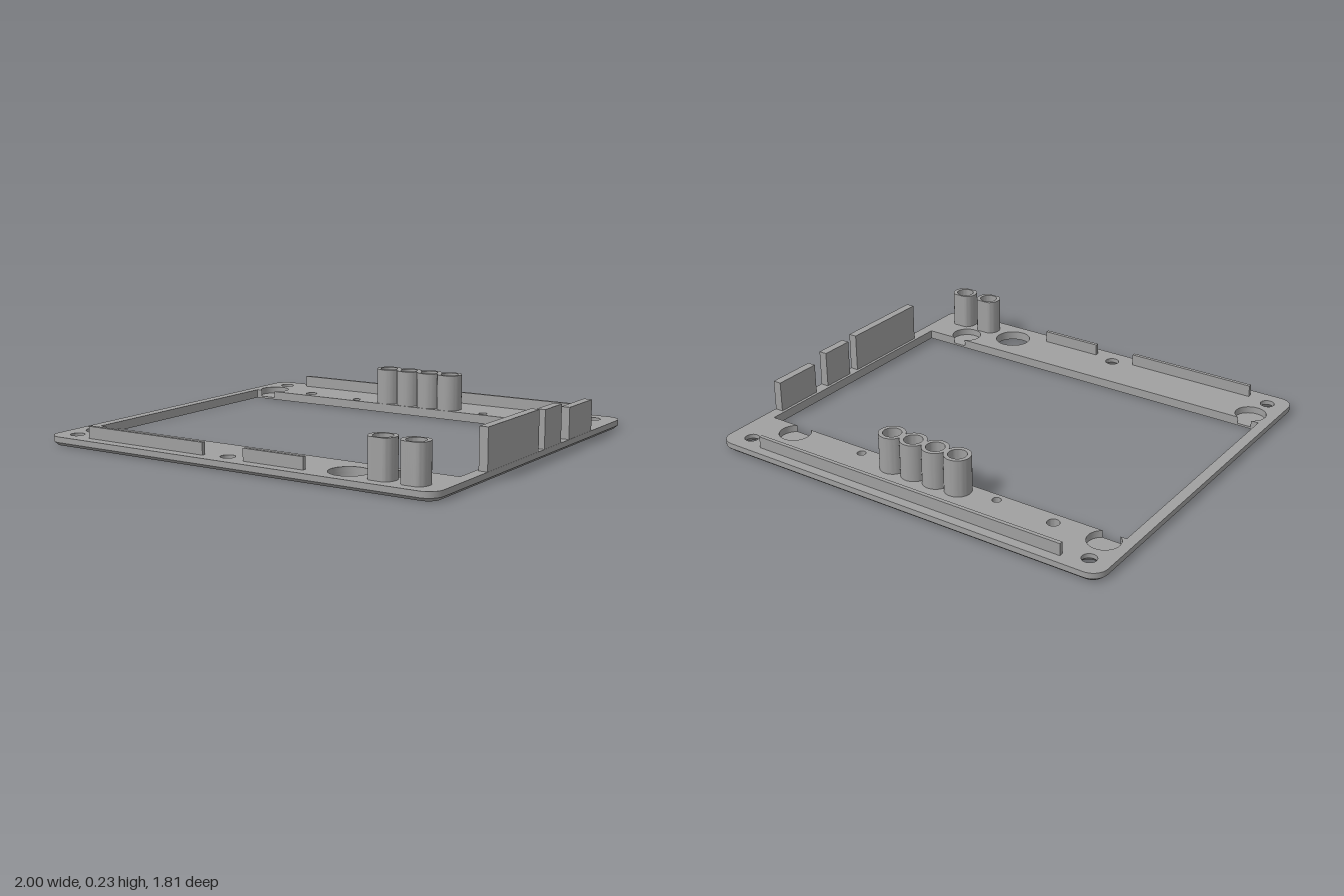
import * as THREE from 'three';
import { mergeGeometries, toCreasedNormals } from 'three/addons/utils/BufferGeometryUtils.js';

const TOP = 0.042, FLOOR = 0.01;
const V = (x, z) => new THREE.Vector2(x, z);

// Loops are lists of (x, z) points, all running from +x towards +z.
function arc(cx, cz, r, a0, a1, n) {
  return Array.from({ length: n + 1 }, (_, i) => {
    const a = a0 + (a1 - a0) * i / n;
    return V(cx + r * Math.cos(a), cz + r * Math.sin(a));
  });
}
const circle = (x, z, r, n = 32) => arc(x, z, r, 0, Math.PI * 2, n).slice(0, n);

function roundedRect(w, d, r) {
  const corners = [[1, 1], [-1, 1], [-1, -1], [1, -1]];
  return corners.flatMap(([sx, sz], i) =>
    arc(sx * (w - r), sz * (d - r), r, i * Math.PI / 2, (i + 1) * Math.PI / 2, 8));
}

// Flat face with holes, facing up or down
function face(loop, holes, y, up = true) {
  const s = up ? -1 : 1;
  const conv = (l) => l.map((p) => V(p.x, p.y * s));
  const shape = new THREE.Shape(conv(loop));
  shape.holes = holes.map((h) => new THREE.Path(conv(h)));
  const g = new THREE.ShapeGeometry(shape).rotateX(s * Math.PI / 2).translate(0, y, 0).toNonIndexed();
  g.deleteAttribute('uv');
  return g;
}

// Wall between a lower and an upper loop, facing outwards or into a hole
function wall(a, ya, b, yb, outward) {
  const pos = [];
  const put = (p, y) => pos.push(p.x, y, p.y);
  for (let i = 0; i < a.length; i++) {
    const j = (i + 1) % a.length;
    const [m, n] = outward ? [j, i] : [i, j];
    put(a[m], ya); put(a[n], ya); put(b[n], yb);
    put(a[m], ya); put(b[n], yb); put(b[m], yb);
  }
  const g = new THREE.BufferGeometry();
  g.setAttribute('position', new THREE.Float32BufferAttribute(pos, 3));
  g.computeVertexNormals();
  return toCreasedNormals(g, 0.6);
}

export function createModel() {
  const group = new THREE.Group();
  const grey = new THREE.MeshStandardMaterial({ color: 0xa0a0a0 });
  grey.name = 'plain grey';
  const add = (name, geo) => {
    const m = new THREE.Mesh(geo, grey);
    m.name = name;
    group.add(m);
    return m;
  };

  // Outline with a chamfered lower edge
  const outline = roundedRect(1, 0.905, 0.07);
  const lowOutline = roundedRect(0.982, 0.887, 0.052);

  // Window opening, with four round pockets breaking into its long edges
  const x0 = -0.95, x1 = 0.945, zb = -0.605, zf = 0.61, pr = 0.073;
  const opening = [V(x1, zf), V(x0, zf), V(x0, zb), V(x1, zb)];
  const pocket = (x, front) => {
    const d = front ? 0.065 : 0.06;
    const a = -Math.acos(Math.sqrt(pr * pr - d * d) / pr);
    const turn = front ? 0 : Math.PI;
    return arc(x, front ? zf + d : zb - d, pr, a + turn, Math.PI - a + turn, 28);
  };
  const pockets = [pocket(0.76, true), pocket(-0.88, true), pocket(-0.88, false), pocket(0.76, false)];
  const notched = [opening[0], ...pockets[0], ...pockets[1], opening[1],
    opening[2], ...pockets[2], ...pockets[3], opening[3]];

  // Holes: x, z, radius, radius at the underside
  const backTubes = [-0.163, -0.047, 0.07, 0.185].map((x) => [x, -0.668]);
  const frontTubes = [[0.71, 0.805], [0.86, 0.805]];
  const holes = [
    [-0.9, -0.81, 0.033, 0.055], [0.89, -0.81, 0.033, 0.055],
    [-0.9, 0.815, 0.033, 0.055], [-0.045, 0.815, 0.033, 0.055],
    [-0.64, -0.665, 0.028, 0.028], [-0.345, -0.645, 0.02, 0.02], [0.385, -0.645, 0.02, 0.02],
    [0.53, 0.77, 0.087, 0.087],
    ...[...backTubes, ...frontTubes].map(([x, z]) => [x, z, 0.042, 0.042]),
  ];
  const highHoles = holes.map(([x, z, r]) => circle(x, z, r));
  const lowHoles = holes.map(([x, z, , r]) => circle(x, z, r));

  // Base frame plate
  add('framePlate', mergeGeometries([
    face(outline, [notched, ...highHoles], TOP),
    face(lowOutline, [opening, ...lowHoles], 0, false),
    wall(lowOutline, 0, outline, 0.016, true),
    wall(outline, 0.016, outline, TOP, true),
    wall(opening, 0, opening, FLOOR, false),
    wall(notched, FLOOR, notched, TOP, false),
    ...pockets.map((p) => face(p, [], FLOOR)),
    ...holes.flatMap((_, i) => [
      wall(lowHoles[i], 0, highHoles[i], 0.022, false),
      wall(highHoles[i], 0.022, highHoles[i], TOP, false),
    ]),
  ]));

  // Hollow posts; the front pair has flattened sides
  const tube = (name, [x, z], flat) => {
    const outer = circle(x, z, 0.061, 48);
    outer.forEach((p) => { p.y = THREE.MathUtils.clamp(p.y, z - flat, z + flat); });
    const inner = circle(x, z, 0.042);
    add(name, mergeGeometries([
      face(outer, [inner], 0.215),
      wall(outer, TOP, outer, 0.215, true),
      wall(inner, TOP, inner, 0.215, false),
    ]));
  };
  backTubes.forEach((p) => tube('backPost', p, 1));
  frontTubes.forEach((p) => tube('frontPost', p, 0.051));

  // Upright ribs and side walls: x range, z range, top height
  const upright = (name, xa, xb, za, zb2, top) => {
    const base = TOP - 0.004;
    add(name, new THREE.BoxGeometry(xb - xa, top - base, zb2 - za))
      .position.set((xa + xb) / 2, (top + base) / 2, (za + zb2) / 2);
  };
  upright('backRib', -0.795, 0.793, -0.86, -0.842, 0.097);
  upright('frontRibLong', -0.793, -0.15, 0.836, 0.854, 0.097);
  upright('frontRibShort', 0.063, 0.365, 0.836, 0.854, 0.097);
  upright('sideWallLong', 0.959, 0.999, 0.017, 0.482, 0.225);
  upright('sideWallMiddle', 0.959, 0.999, -0.207, -0.04, 0.215);
  upright('sideWallBack', 0.959, 0.999, -0.533, -0.29, 0.187);
  return group;
}
